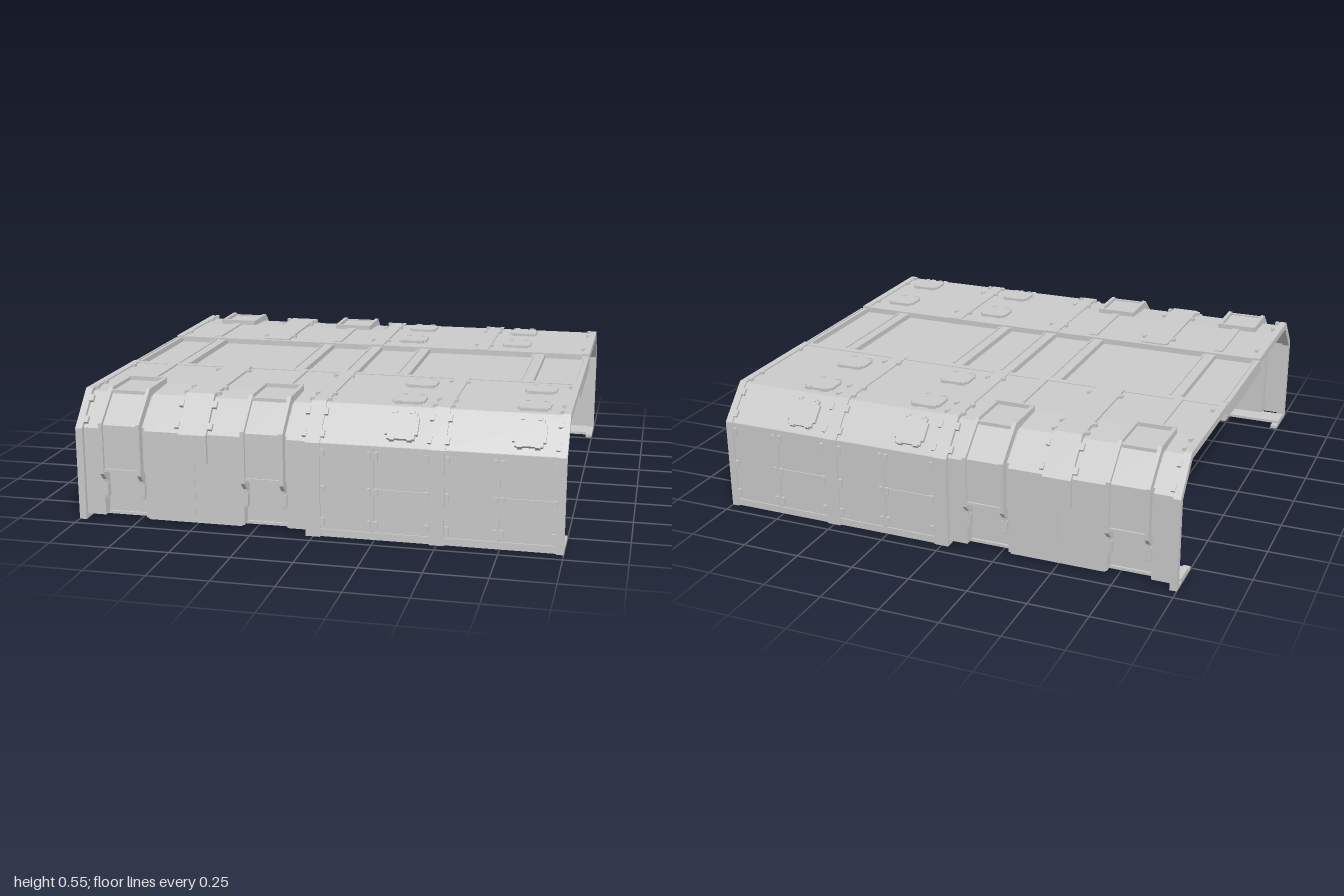
import * as THREE from 'three';

const grey = new THREE.MeshStandardMaterial({ color: 0xcccccc, flatShading: true, side: THREE.DoubleSide });

function add(parent, geometry, name, x = 0, y = 0, z = 0) {
  const m = new THREE.Mesh(geometry, grey);
  m.name = name;
  m.position.set(x, y, z);
  parent.add(m);
  return m;
}
const box = (parent, name, w, h, d, x, y, z) => add(parent, new THREE.BoxGeometry(w, h, d), name, x, y, z);

// Solid between x0 and x1 from an outline of [z, y] points
function prism(parent, name, outline, x0, x1) {
  const shape = new THREE.Shape(outline.map(([z, y]) => new THREE.Vector2(-z, y)));
  const g = new THREE.ExtrudeGeometry(shape, { depth: x1 - x0, bevelEnabled: false });
  g.rotateY(Math.PI / 2);
  return add(parent, g, name, x0);
}

// Path of [z, y] points moved inwards by t, with mitred corners
function inset(path, t) {
  const normals = path.slice(1).map(([z, y], i) => {
    const dz = z - path[i][0], dy = y - path[i][1], l = Math.hypot(dz, dy);
    return [-dy / l, dz / l];
  });
  return path.map(([z, y], i) => {
    const a = normals[Math.max(i - 1, 0)], b = normals[Math.min(i, normals.length - 1)];
    const k = t / (1 + a[0] * b[0] + a[1] * b[1]);
    return [z + (a[0] + b[0]) * k, y + (a[1] + b[1]) * k];
  });
}

// Bent plate following a path
const shell = (parent, name, path, t, x0, x1) =>
  prism(parent, name, [...path, ...inset(path, t).reverse()], x0, x1);

const ribPath = [[0.95, 0], [0.95, 0.39], [0.82, 0.53], [0.28, 0.53]];
const panelPath = [[0.942, 0.01], [0.942, 0.388], [0.816, 0.524], [0.3, 0.524]];
const bulgePath = [[0.932, 0.02], [0.932, 0.39], [0.81, 0.515], [0.64, 0.524], [0.3, 0.524]];
const recessPath = [[0.885, 0.02], [0.885, 0.39], [0.81, 0.46], [0.64, 0.46], [0.64, 0.524]];
const scoopPath = [[0.945, 0.1], [0.95, 0.18], [0.978, 0.21], [0.978, 0.425], [0.84, 0.545], [0.64, 0.545]];
const coverPath = [[0.965, 0.22], [0.965, 0.415], [0.835, 0.53], [0.64, 0.53]];
const SLOPE = 0.82;

// Notched access hatch with hinge tabs
function hatch(parent, x, y, z, depth, tilt) {
  const g = new THREE.Group();
  g.name = 'accessHatch';
  box(g, 'hatchPlate', 0.11, 0.014, depth, 0, 0, 0);
  box(g, 'hatchMiddle', 0.13, 0.014, depth * 0.66, 0, 0, 0);
  for (const sx of [-1, 1])
    for (const sz of [-1, 1]) box(g, 'hatchTab', 0.02, 0.02, 0.012, sx * 0.035, 0, sz * depth / 2);
  g.position.set(x, y, z);
  g.rotation.x = tilt;
  parent.add(g);
}

// Fasteners running up the slope and along the roof beside a rib
function ribClips(parent, x) {
  for (const z of [0.38, 0.7, 0.79]) box(parent, 'roofClip', 0.016, 0.014, 0.02, x, 0.529, z);
  for (const [z, y] of [[0.918, 0.42], [0.85, 0.494]])
    box(parent, 'slopeClip', 0.018, 0.014, 0.03, x, y, z).rotation.x = SLOPE;
}

// Half-unit wide bay with doors in the wall and hatches above
function plainBay() {
  const g = new THREE.Group();
  g.name = 'plainBay';
  shell(g, 'wallAndRoofPanel', panelPath, 0.014, -0.25, 0.25);
  box(g, 'floorFlange', 0.5, 0.012, 0.14, 0, 0.008, 0.875);
  // Door frames and seams
  box(g, 'lowerSill', 0.44, 0.018, 0.01, 0, 0.024, 0.943);
  box(g, 'upperSill', 0.44, 0.012, 0.01, 0, 0.384, 0.943);
  box(g, 'doorPost', 0.014, 0.36, 0.01, -0.008, 0.205, 0.944);
  box(g, 'doorSeam', 0.215, 0.006, 0.006, 0.11, 0.21, 0.944);
  for (const x of [-0.21, -0.02, 0.006, 0.21])
    for (const y of [0.065, 0.2, 0.35]) box(g, 'hinge', 0.016, 0.032, 0.014, x, y, 0.946);
  for (const x of [-0.215, 0.215]) ribClips(g, x);
  hatch(g, 0.1, 0.528, 0.44, 0.12, 0);
  hatch(g, 0.1, 0.528, 0.72, 0.12, 0);
  hatch(g, 0.1, 0.462, 0.886, 0.12, SLOPE);
  return g;
}

// Sloped hood with side rails over a sunken slot
function scoop(parent, cx) {
  const g = new THREE.Group();
  g.name = 'scoop';
  const w = 0.095;
  shell(g, 'sunkenSlot', recessPath, 0.01, -w, w);
  shell(g, 'roofBehindSlot', [[0.64, 0.524], [0.3, 0.524]], 0.014, -w, w);
  for (const s of [-1, 1]) {
    const outer = bulgePath.slice(0, 4);
    prism(g, 'slotCheek', [...outer, ...recessPath.slice(0, 4).reverse()], s * w - 0.005, s * w + 0.005);
    shell(g, 'hoodRail', scoopPath, 0.035, s * 0.08 - 0.008, s * 0.08 + 0.008);
    box(g, 'railBracket', 0.024, 0.05, 0.02, s * 0.08, 0.14, 0.94);
  }
  shell(g, 'hoodCover', coverPath, 0.01, -0.075, 0.075);
  box(g, 'hoodCrossbar', 0.15, 0.014, 0.014, 0, 0.528, 0.845);
  box(g, 'hoodLip', 0.15, 0.012, 0.014, 0, 0.225, 0.966);
  box(g, 'hoodBackLip', 0.17, 0.02, 0.014, 0, 0.537, 0.642);
  box(g, 'roofBatten', 0.036, 0.01, 0.33, 0, 0.527, 0.475);
  g.position.x = cx;
  parent.add(g);
}

// Full-unit bay with two scoops around a raised middle
function scoopBay() {
  const g = new THREE.Group();
  g.name = 'scoopBay';
  for (const [a, b] of [[-0.5, -0.395], [-0.205, 0.205], [0.395, 0.5]])
    shell(g, 'raisedWall', bulgePath, 0.012, a, b);
  for (const x of [-0.3, 0.3]) scoop(g, x);
  // Strap over the middle
  shell(g, 'middleStrap', [[0.95, 0.27], [0.95, 0.39], [0.82, 0.533], [0.3, 0.533]], 0.02, -0.06, 0.06);
  box(g, 'wallSeam', 0.005, 0.25, 0.004, 0, 0.145, 0.933);
  for (const x of [-0.462, -0.07, 0.07, 0.462]) ribClips(g, x);
  box(g, 'floorFlange', 1, 0.012, 0.1, 0, 0.02, 0.845);
  box(g, 'middleFoot', 0.4, 0.012, 0.05, 0, 0.02, 0.907);
  return g;
}

// Frame following the whole side, with a foot
function rib(parent, x0, x1) {
  shell(parent, 'rib', ribPath, 0.03, x0, x1);
  box(parent, 'ribFoot', x1 - x0, 0.014, 0.19, (x0 + x1) / 2, 0.007, 0.855);
}

export function createModel() {
  const model = new THREE.Group();
  model.name = 'shelterRoof';

  // Both sides: every bay is turned half round about its own centre
  for (const turn of [0, Math.PI]) {
    const side = new THREE.Group();
    side.name = turn ? 'backSide' : 'frontSide';
    for (const [make, x] of [[scoopBay, -0.5], [plainBay, 0.25], [plainBay, 0.75]]) {
      const bay = make();
      bay.position.x = x;
      bay.rotation.y = turn;
      side.add(bay);
    }
    const ribs = new THREE.Group();
    ribs.name = 'ribs';
    for (const [a, b] of [[-1, -0.97], [-0.03, 0.03], [0.47, 0.53], [0.97, 1]])
      turn ? rib(ribs, -b, -a) : rib(ribs, a, b);
    ribs.rotation.y = turn;
    side.add(ribs);
    model.add(side);
  }

  // Central roof well with long rails and cross beams
  const well = new THREE.Group();
  well.name = 'centralRoof';
  box(well, 'roofWellPanel', 2, 0.02, 0.58, 0, 0.492, 0);
  for (const z of [-0.297, 0.297]) box(well, 'longRail', 2, 0.066, 0.03, 0, 0.494, z);
  for (const x of [-0.985, -0.77, -0.235, 0, 0.23, 0.77, 0.985]) {
    const w = Math.abs(x) > 0.9 ? 0.03 : 0.056;
    box(well, 'crossBeam', w, 0.06, 0.58, x, 0.49, 0);
    for (const s of [-1, 1]) box(well, 'beamEdge', 0.008, 0.01, 0.52, x + s * (w / 2 - 0.004), 0.52, 0);
  }
  model.add(well);
  return model;
}
